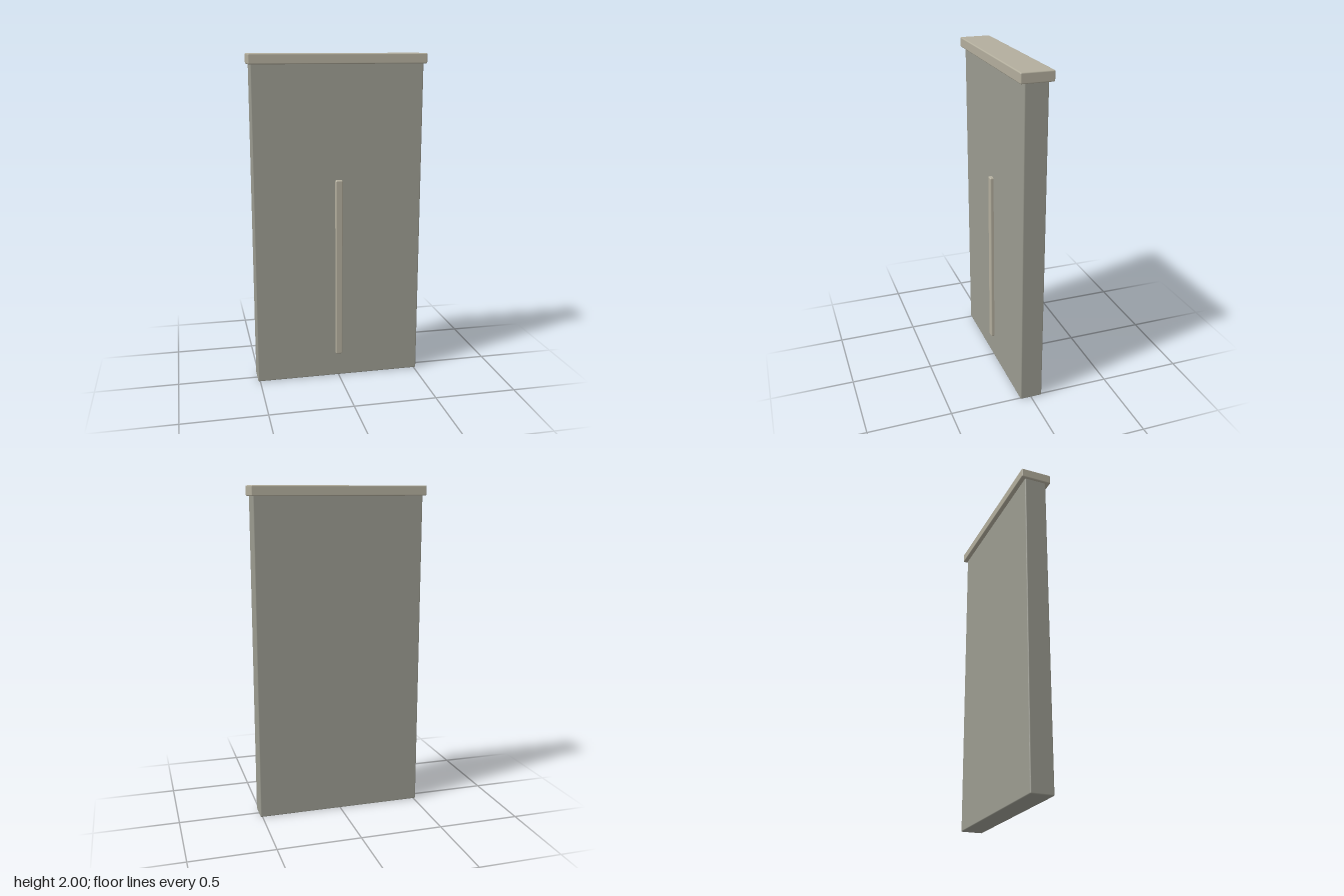
import * as THREE from 'three';
import { RoundedBoxGeometry } from 'three/addons/geometries/RoundedBoxGeometry.js';

// Soft-edged block spanning the two given corners
function block(name, min, max, bevel, color) {
  const size = max.map((v, i) => v - min[i]);
  const mesh = new THREE.Mesh(
    new RoundedBoxGeometry(...size, 2, bevel),
    new THREE.MeshStandardMaterial({ color })
  );
  mesh.name = name;
  mesh.position.set(...max.map((v, i) => (v + min[i]) / 2));
  return mesh;
}

export function createModel() {
  const model = new THREE.Group();
  model.name = 'slabPanel';
  const stone = 0x9b9b90, trim = 0xb3ae9d;

  model.add(
    // upright slab
    block('slab', [-0.513, 0, -0.068], [0.513, 1.95, 0.068], 0.007, stone),
    // overhanging top cap
    block('topCap', [-0.527, 1.94, -0.095], [0.527, 2, 0.095], 0.007, trim),
    // slim vertical rib on the front, sunk into the slab
    block('frontRib', [-0.022, 0.15, 0.05], [0.022, 1.26, 0.089], 0.008, trim)
  );
  return model;
}
